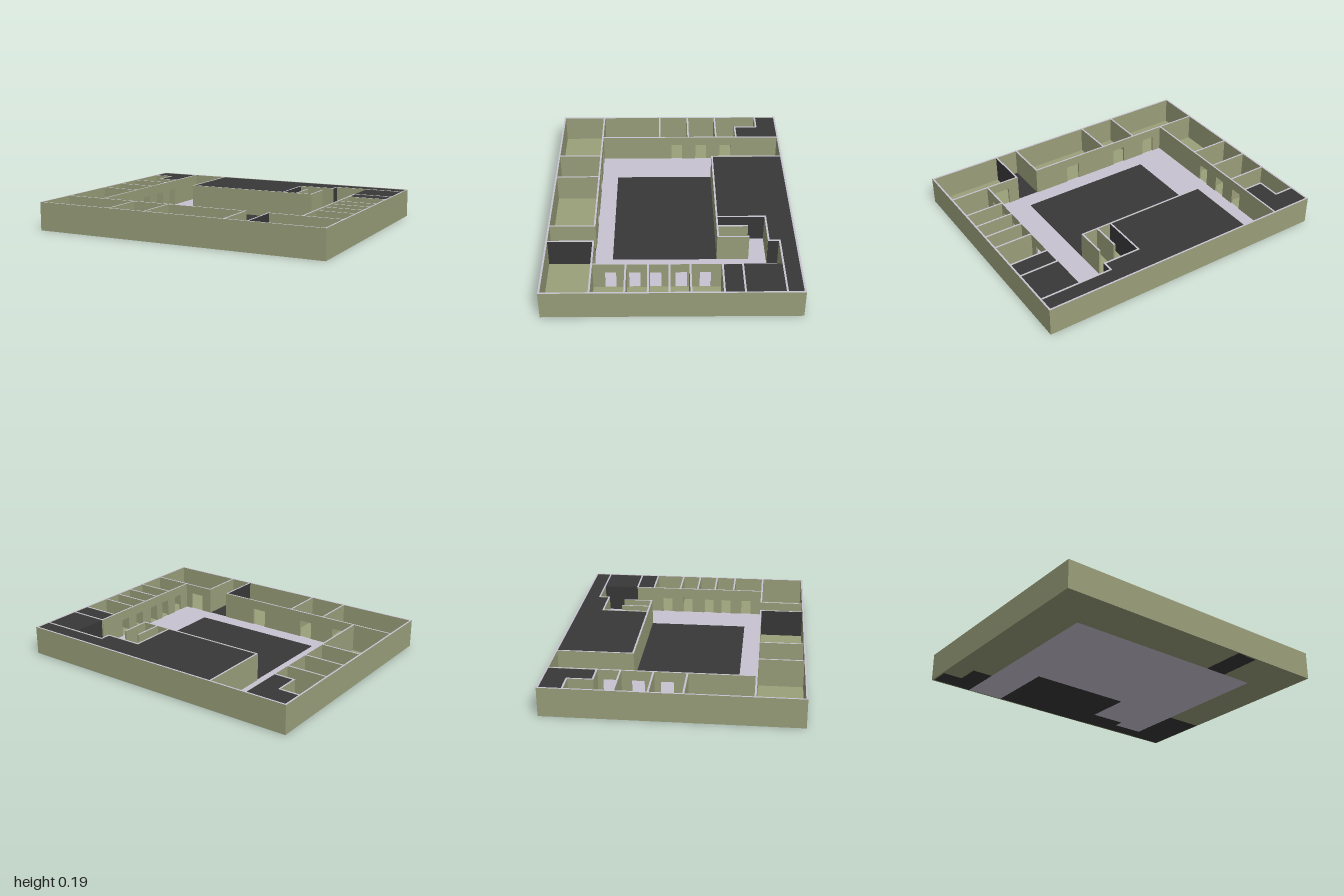
import * as THREE from 'three';

const H = 0.19;      // wall height
const T = 0.012;     // wall thickness
const F = 0.006;     // floor thickness
const DOOR = 0.125;  // door head height

const paint = (color) => new THREE.MeshStandardMaterial({ color });

export function createModel() {
  const model = new THREE.Group();
  const olive = paint(0x9a9f7a), pale = paint(0xc8c3d2), dark = paint(0x383838);

  // Box given by its limits on each axis
  function block(parent, name, x0, x1, y0, y1, z0, z1, material) {
    const mesh = new THREE.Mesh(new THREE.BoxGeometry(x1 - x0, y1 - y0, z1 - z0), material);
    mesh.position.set((x0 + x1) / 2, (y0 + y1) / 2, (z0 + z1) / 2);
    mesh.name = name;
    parent.add(mesh);
  }

  // Straight wall with pale top; doors are [centre, width] along its run
  function wall(name, axis, at, from, to, { doors = [], darkSide = 0, base = 0.002 } = {}) {
    const group = new THREE.Group();
    group.name = name;
    const mats = [olive, olive, pale, olive, olive, olive];
    if (darkSide > 0) mats[0] = dark;
    if (darkSide < 0) mats[1] = dark;
    const piece = (part, a, b, y0) => axis === 'x'
      ? block(group, part, a, b, y0, H, at - T / 2, at + T / 2, mats)
      : block(group, part, at - T / 2, at + T / 2, y0, H, a, b, mats);
    let start = from;
    for (const [c, w] of doors) {
      piece('wallPanel', start, c - w / 2, base);
      piece('doorLintel', c - w / 2, c + w / 2, DOOR);
      start = c + w / 2;
    }
    piece('wallPanel', start, to, base);
    model.add(group);
  }

  // Floors: [x0, x1, z0, z1]
  const floor = (name, material, rects) => rects.forEach(([a, b, c, d]) =>
    block(model, name, a, b, 0, F, c, d, material));
  floor('corridorFloor', pale, [
    [-0.715, -0.46, -0.795, -0.3], [-0.715, 0.73, -0.3, 0.497],
    [0.25, 0.505, -0.62, -0.3], [0.505, 0.73, -0.69, -0.3],
  ]);
  floor('roomFloor', olive, [
    [-0.995, -0.855, -0.65, -0.49], [-0.995, -0.715, -0.49, 0.497],
    [0.73, 0.995, -0.315, 0.497],
    [-0.995, 0.347, 0.497, 0.795], [0.505, 0.995, 0.497, 0.795],
  ]);
  floor('passageFloor', dark, [[0.347, 0.505, 0.497, 0.795]]);
  block(model, 'courtyard', -0.46, 0.47, F, F + 0.003, -0.3, 0.38, dark);
  block(model, 'stallFloor', 0.25, 0.465, F, F + 0.003, -0.5, -0.3, olive);

  // Solid roofed parts, just below the wall tops
  for (const [a, b, c, d] of [
    [-0.46, 0.25, -0.795, -0.3], [0.25, 0.505, -0.795, -0.62], [0.505, 0.995, -0.795, -0.69],
    [0.73, 0.995, -0.69, -0.315],
    [-0.995, -0.715, -0.795, -0.65], [-0.855, -0.715, -0.65, -0.49],
  ]) block(model, 'roofedBlock', a, b, 0, H - 0.002, c, d, dark);

  // Outer shell
  for (const s of [-1, 1]) {
    wall('outerWall', 'x', s * (0.802 - T / 2), -1, 1, { base: 0 });
    wall('outerSideWall', 'z', s * (1 - T / 2), -0.802, 0.802, { base: 0 });
  }

  // Corridor walls with doors
  wall('leftCorridorWall', 'z', 0.73, -0.44, 0.497,
    { doors: [-0.21, -0.06, 0.1, 0.23, 0.38].map((c) => [c, 0.07]) });
  wall('rightCorridorWall', 'z', -0.715, -0.8, 0.497,
    { doors: [-0.41, -0.23, -0.05].map((c) => [c, 0.08]) });
  wall('frontCorridorWall', 'x', 0.497, -0.995, 0.347,
    { doors: [[-0.6, 0.09], [-0.34, 0.09], [0.055, 0.1]] });
  wall('frontCorridorWall', 'x', 0.497, 0.505, 0.995, { doors: [[0.625, 0.1]] });

  // Room partitions
  for (const z of [-0.34, -0.135, 0.075]) wall('rightRoomPartition', 'x', z, -0.995, -0.715);
  for (const z of [-0.44, -0.315, -0.115, 0.015, 0.145, 0.285]) wall('leftRoomPartition', 'x', z, 0.73, 0.995);
  for (const x of [-0.47, -0.21]) wall('frontRoomPartition', 'z', x, 0.497, 0.795);
  wall('passageWall', 'z', 0.347, 0.491, 0.795, { darkSide: -1 });
  wall('passageWall', 'z', 0.505, 0.491, 0.795, { darkSide: 1 });

  // Stepped corner room
  wall('cornerWall', 'x', -0.647, -0.995, -0.855);
  wall('cornerWall', 'z', -0.855, -0.65, -0.49);
  wall('cornerWall', 'x', -0.488, -0.86, -0.715);

  // Walls around the large roofed block
  wall('hallSideWall', 'z', -0.46, -0.8, -0.295);
  wall('hallFrontWall', 'x', -0.3, -0.46, 0.47);
  wall('hallSideWall', 'z', 0.253, -0.625, -0.3, { darkSide: 1 });
  wall('hallStepWall', 'x', -0.62, 0.25, 0.505);
  wall('hallStepWall', 'z', 0.505, -0.695, -0.615, { darkSide: 1 });
  wall('hallBackWall', 'x', -0.69, 0.505, 0.995);

  // Stall partitions
  for (const x of [0.353, 0.464]) wall('stallPartition', 'z', x, -0.5, -0.3);

  return model;
}
